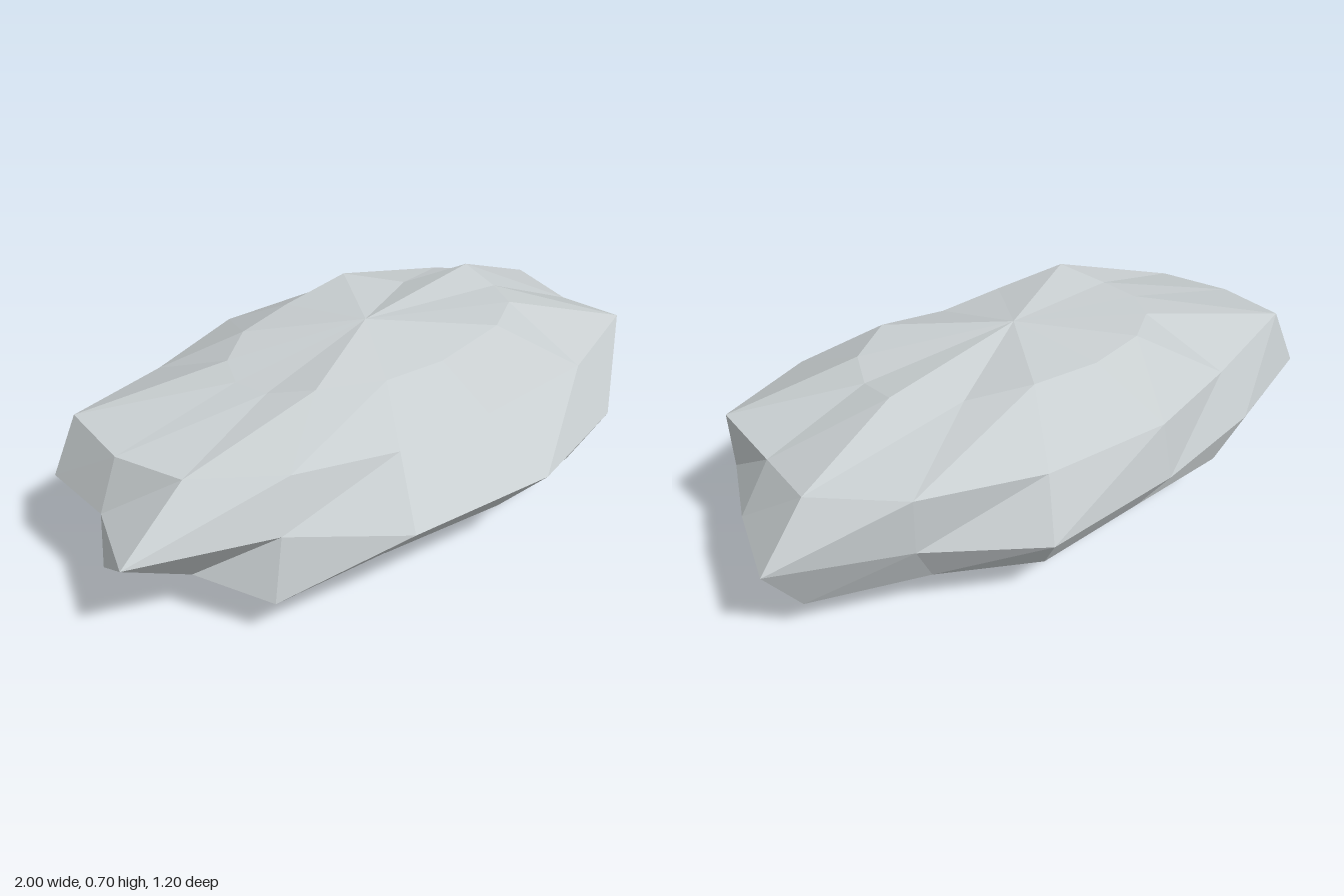
import * as THREE from 'three';

const SIDES = 14;
const MID = 0.355; // height of the widest ring
const DEPTH = 0.555; // depth relative to width
const GROUND = 0.068; // anything lower is pressed flat onto the ground

// Radius of each ring from top to bottom, starting at +x and turning towards +z
const RINGS = [
  [1.03, 1.05, 1.07, 0.94, 0.97, 1.08, 0.95, 0.93, 0.95, 1.0, 1.03, 1.13, 0.98, 1.12],
  [0.97, 1.11, 1.02, 0.87, 0.9, 0.92, 0.975, 1.0, 1.13, 0.99, 1.07, 1.09, 1.09, 1.07],
  [0.94, 0.955, 1.03, 1.11, 1.11, 0.9, 1.11, 0.93, 1.065, 0.98, 0.99, 1.11, 0.945, 1.11],
  [0.94, 0.96, 1.01, 0.97, 0.95, 1.13, 0.97, 1.09, 1.0, 1.0, 0.93, 1.02, 0.95, 1.12],
  [1.08, 1.0, 0.91, 0.96, 0.96, 0.9, 0.96, 1.08, 1.0, 1.0, 1.03, 1.1, 0.93, 1.04],
];

function boulderGeometry() {
  const points = [0, 0.7025, 0];
  RINGS.forEach((radii, i) => {
    const polar = ((i + 1) * Math.PI) / 6;
    radii.forEach((r, j) => {
      const turn = (j * 2 * Math.PI) / SIDES;
      const flat = r * Math.sin(polar);
      const y = MID + 0.35 * r * Math.cos(polar);
      points.push(flat * Math.cos(turn), y < GROUND ? 0 : y, flat * DEPTH * Math.sin(turn));
    });
  });
  points.push(0, 0, 0);

  const at = (i, j) => 1 + i * SIDES + (j % SIDES);
  const last = 1 + RINGS.length * SIDES;
  const faces = [];
  for (let j = 0; j < SIDES; j++) {
    faces.push(0, at(0, j + 1), at(0, j)); // crown
    for (let i = 0; i < RINGS.length - 1; i++) {
      faces.push(at(i, j), at(i, j + 1), at(i + 1, j + 1));
      faces.push(at(i, j), at(i + 1, j + 1), at(i + 1, j));
    }
    faces.push(last, at(4, j), at(4, j + 1)); // base
  }

  const indexed = new THREE.BufferGeometry();
  indexed.setAttribute('position', new THREE.Float32BufferAttribute(points, 3));
  indexed.setIndex(faces);
  const geometry = indexed.toNonIndexed(); // separate facets give flat normals
  geometry.computeVertexNormals();
  return geometry;
}

export function createModel() {
  const stone = new THREE.MeshStandardMaterial({ color: 0xc8ced0, flatShading: true });
  stone.name = 'stoneGrey';

  const boulder = new THREE.Mesh(boulderGeometry(), stone);
  boulder.name = 'boulder';

  const group = new THREE.Group();
  group.name = 'rock';
  group.add(boulder);
  return group;
}
